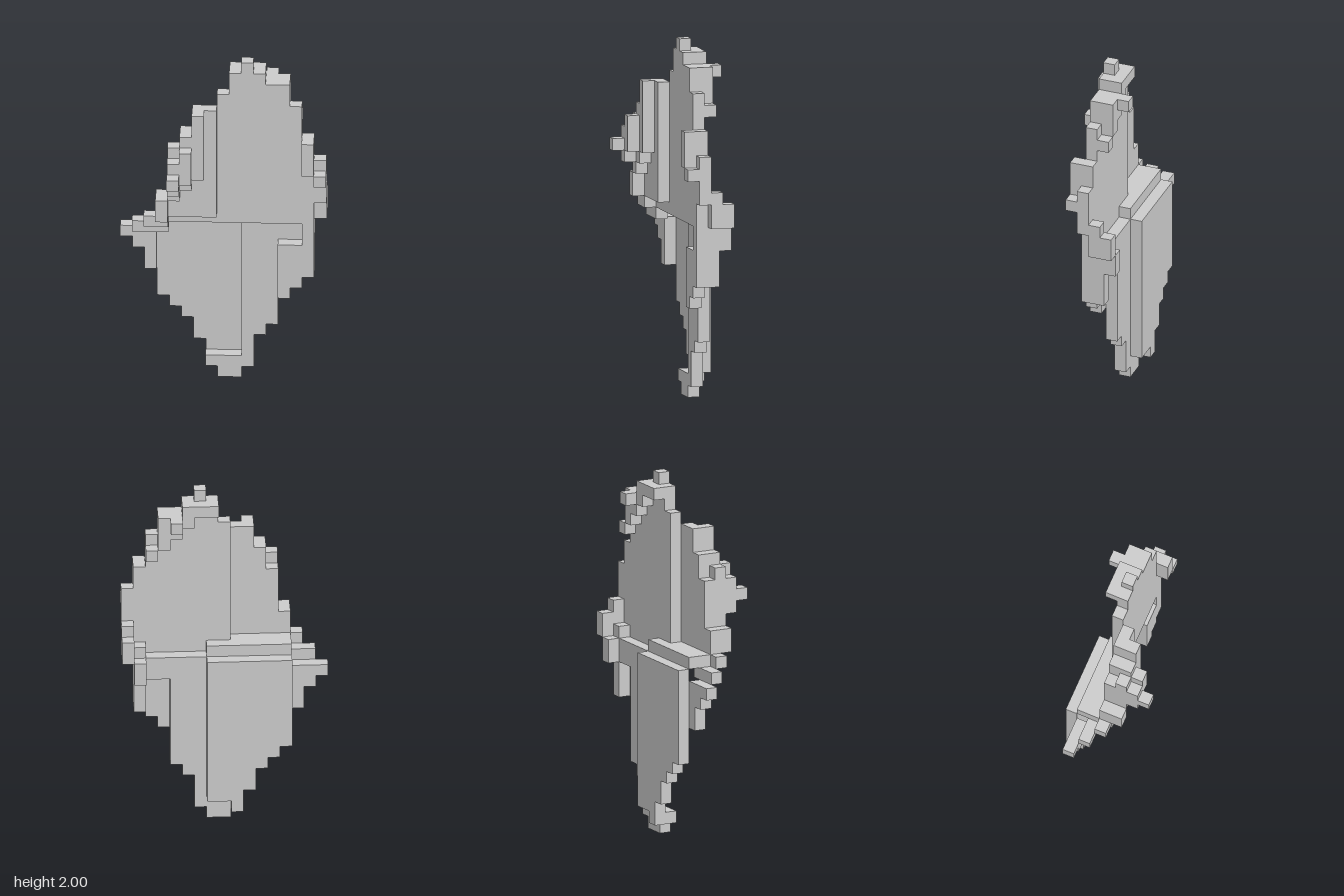
import * as THREE from 'three';

const S = 2 / 30; // edge of one block
const material = new THREE.MeshStandardMaterial({ color: 0xcccccc, flatShading: true });

// One layer of blocks in depth; each run is [left, right, bottom, top] in block units.
function addLayer(parent, name, layer, runs) {
  const group = new THREE.Group();
  group.name = name;
  runs.forEach(([l, r, b, t], n) => {
    const mesh = new THREE.Mesh(new THREE.BoxGeometry((r - l) * S, (t - b) * S, S), material);
    mesh.position.set(((l + r) / 2 - 8.5) * S, ((b + t) / 2) * S, (layer - 3) * S);
    mesh.name = `${name}Run${n + 1}`;
    group.add(mesh);
  });
  parent.add(group);
}

export function createModel() {
  const model = new THREE.Group();
  model.name = 'blockShell';

  // lower back plate, tapering in steps to the foot
  addLayer(model, 'lowerBackPlate', 0, [
    [3, 10, 7, 15], [4, 10, 6, 7], [5, 10, 5, 6], [6, 10, 3, 5], [7, 10, 2, 3], [7, 8, 1, 2],
  ]);
  addLayer(model, 'rearBumps', 0, [[15, 16, 13, 15], [16, 17, 15, 17], [12, 13, 27, 28]]);

  // lower plate one step forward, with the foot
  addLayer(model, 'lowerLeftPlate', 1, [
    [10, 13, 5, 13], [10, 15, 13, 15], [10, 12, 4, 5], [10, 11, 1, 4], [15, 16, 10, 16],
  ]);
  addLayer(model, 'foot', 1, [[7, 10, 1, 2], [8, 10, 0, 1]]);
  addLayer(model, 'waistRidge', 1, [[3, 10, 15, 16]]);
  addLayer(model, 'rightFin', 1, [[2, 3, 10, 14], [1, 2, 12, 14], [0, 1, 13, 14]]);
  addLayer(model, 'leftFin', 1, [[16, 17, 15, 18]]);
  addLayer(model, 'crownBack', 1, [
    [9, 12, 28, 29], [11, 14, 27, 28], [12, 14, 26, 27], [13, 14, 25, 26], [14, 15, 24, 25],
  ]);

  // upper plate with the stepped crown
  addLayer(model, 'upperPlate', 2, [
    [3, 16, 15, 16], [8, 16, 16, 17], [8, 17, 17, 21], [8, 16, 21, 23], [8, 15, 23, 26],
    [8, 14, 26, 27], [9, 14, 27, 28], [9, 12, 28, 29], [10, 11, 29, 30],
  ]);
  addLayer(model, 'lowerLeftEdge', 2, [
    [13, 14, 8, 9], [13, 15, 9, 10], [13, 16, 10, 13], [15, 16, 13, 15],
  ]);
  addLayer(model, 'rightFinFront', 2, [[1, 4, 14, 15]]);

  // upper wing, stepping forward to the right
  addLayer(model, 'wingPlate', 3, [
    [2, 4, 15, 16], [3, 8, 16, 18], [4, 8, 18, 22], [5, 8, 22, 24], [6, 8, 24, 26],
  ]);
  addLayer(model, 'leftEdgeBumps', 3, [[15, 16, 20, 23], [16, 17, 19, 20]]);
  addLayer(model, 'wingStep', 4, [
    [3, 4, 16, 18], [4, 5, 18, 23], [5, 6, 19, 24], [6, 7, 20, 26],
  ]);
  addLayer(model, 'wingRidge', 5, [[4, 5, 19, 22], [5, 6, 20, 23]]);
  addLayer(model, 'wingTip', 6, [[4, 5, 20, 21]]);

  return model;
}
